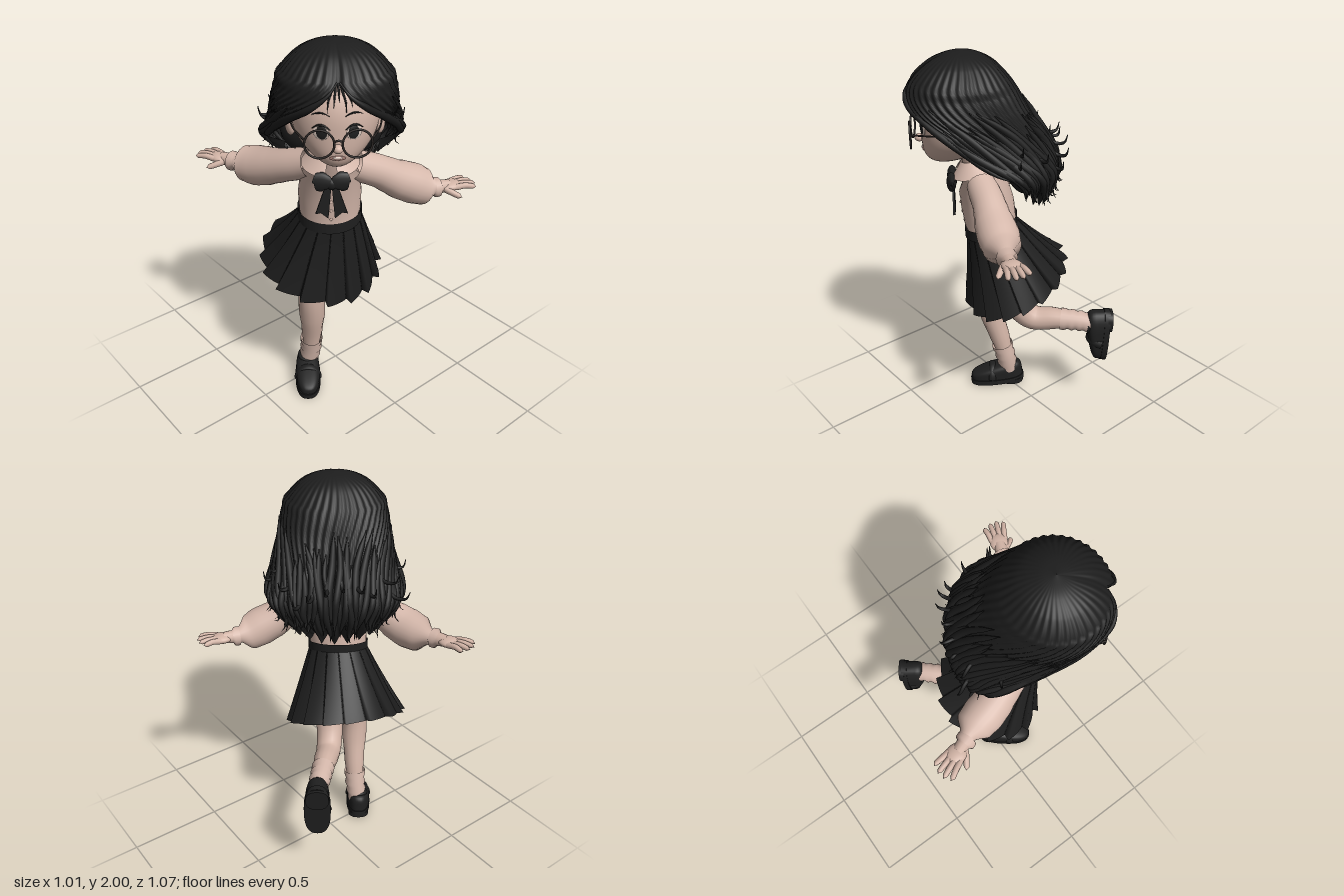
import * as THREE from 'three';
import { ParametricGeometry } from 'three/addons/geometries/ParametricGeometry.js';

const paint = (name, color, side = THREE.FrontSide) => {
  const m = new THREE.MeshStandardMaterial({ color, side });
  m.name = name;
  return m;
};
const V = (p) => new THREE.Vector3(...p);
const YAW = -0.6435;

// smooth tapered tube: radii are spaced evenly along the path
function limb(points, radii, seg = 36, sides = 16) {
  const curve = new THREE.CatmullRomCurve3(points.map((p) => (p.isVector3 ? p : V(p))));
  const geo = new THREE.TubeGeometry(curve, seg, 1, sides);
  const pos = geo.attributes.position, v = new THREE.Vector3();
  for (let i = 0; i <= seg; i++) {
    const c = curve.getPointAt(i / seg), f = (i / seg) * (radii.length - 1);
    const k = Math.min(Math.floor(f), radii.length - 2), t = f - k;
    const r = THREE.MathUtils.lerp(radii[k], radii[k + 1], t * t * (3 - 2 * t));
    for (let j = 0; j <= sides; j++) {
      const n = i * (sides + 1) + j;
      v.fromBufferAttribute(pos, n).sub(c).multiplyScalar(r).add(c);
      pos.setXYZ(n, v.x, v.y, v.z);
    }
  }
  return geo;
}
const ball = (x, y, z) => new THREE.SphereGeometry(1, 32, 24).scale(x, y, z);

// hair rows from crown to tips: height, centre z, half depth | half width, face opening angle
const hairA = new THREE.CatmullRomCurve3([[2, 0, 0.001], [1.987, 0, 0.075], [1.95, 0.005, 0.155], [1.88, 0.01, 0.228],
  [1.82, 0.005, 0.265], [1.75, -0.015, 0.284], [1.65, -0.075, 0.285], [1.55, -0.135, 0.285], [1.45, -0.235, 0.22],
  [1.35, -0.26, 0.185], [1.25, -0.265, 0.13]].map(V));
const hairB = new THREE.CatmullRomCurve3([[0.001, 0, 0], [0.09, 0, 0], [0.168, 0, 0], [0.236, 0, 0], [0.262, 0.22, 0],
  [0.277, 0.58, 0], [0.285, 1.04, 0], [0.305, 1.36, 0], [0.33, 1.5, 0], [0.305, 1.55, 0], [0.23, 1.6, 0]].map(V));
function hairPoint(u, v, out = new THREE.Vector3(), grow = 0) {
  const A = hairA.getPoint(v), B = hairB.getPoint(v);
  const a = (2 * u - 1) * (Math.PI - Math.max(0, B.y));
  const parting = 0.07 * Math.exp(-(((Math.PI - Math.abs(a)) / 0.14) ** 2));
  const strands = 0.014 * Math.cos(Math.PI * 2 * (38 * u + 0.7 * Math.sin(v * 7))) * Math.min(1, v * 4);
  const k = 1 + strands - parting + grow;
  const tip = Math.max(0, (v - 0.75) / 0.25);
  const jag = Math.abs(((u * 11) % 1) - 0.5) * 0.12 + 0.1 * (2 * u - 1) ** 2;
  return out.set(B.x * k * Math.sin(a), A.x + tip * jag, A.y - A.z * k * Math.cos(a));
}

// depth of the face surface, relative to the head centre
function faceZ(x, y) {
  const sy = y / (y > 0 ? 0.24 : 0.205), k = sy < 0 ? 1 - 0.23 * sy * sy : 1, sx = x / (0.197 * k);
  return 0.2 * Math.sqrt(Math.max(0, 1 - sx * sx - sy * sy)) + (sy < 0 ? 0.1 * sy * sy : 0);
}

export function createModel() {
  const model = new THREE.Group();
  model.name = 'runningGirl';
  const skin = paint('skin', 0xd2b4a6), shirt = paint('shirt', 0xd5b8ab, THREE.DoubleSide);
  const hairMat = paint('hair', 0x1d1d1d, THREE.DoubleSide), cloth = paint('darkCloth', 0x1f1f1f, THREE.DoubleSide);
  const leather = paint('leather', 0x1f1f1f), frame = paint('glassesFrame', 0x2c2725);
  const lip = paint('lip', 0xa98076), ivory = paint('ivory', 0xdccabf);
  const add = (parent, name, geo, mat, at = [0, 0, 0], rot = [0, 0, 0]) => {
    const m = new THREE.Mesh(geo, mat);
    m.name = name;
    m.position.set(...at);
    m.rotation.set(...rot);
    parent.add(m);
    return m;
  };
  const group = (parent, name, at) => {
    const g = new THREE.Group();
    g.name = name;
    g.position.set(...at);
    parent.add(g);
    return g;
  };

  const body = group(model, 'body', [-0.155, 0, 0.14]);
  body.rotation.y = YAW;

  // blouse, neck, collar and buttons
  add(body, 'blouse', limb([[0, 1.05, 0], [0, 1.14, 0.005], [0, 1.25, 0.02], [0, 1.34, 0.04], [0, 1.42, 0.065], [0, 1.47, 0.08]],
    [0.115, 0.133, 0.135, 0.128, 0.09, 0.055], 40, 32), shirt).scale.x = 1.13;
  add(body, 'neck', limb([[0, 1.42, 0.07], [0.01, 1.5, 0.09], [0.02, 1.58, 0.1]], [0.056, 0.054, 0.056]), skin);
  add(body, 'collar', new THREE.CylinderGeometry(0.058, 0.122, 0.065, 40, 1, true, 0.22, Math.PI * 2 - 0.44),
    shirt, [0, 1.435, 0.08], [0.22, 0, 0]).scale.x = 1.12;
  for (let i = 0; i < 3; i++) add(body, 'button', ball(0.008, 0.008, 0.005), shirt, [0, 1.13 + i * 0.05, 0.136 + i * 0.008]);

  // ribbon bow
  const bow = group(body, 'bow', [0, 1.345, 0.187]);
  add(bow, 'bowKnot', ball(0.026, 0.028, 0.022), cloth);
  for (const s of [-1, 1]) {
    add(bow, 'bowLoop', limb([[0, 0, 0], [s * 0.035, 0.012, 0.008], [s * 0.08, 0.012, 0], [s * 0.088, 0.008, 0]],
      [0.012, 0.036, 0.05, 0.046, 0.002], 20, 12), cloth).scale.z = 0.5;
    const tail = new THREE.Shape([[0, 0], [s * 0.025, 0], [s * 0.075, -0.155], [s * 0.05, -0.15], [s * 0.015, -0.18]].map((p) => new THREE.Vector2(...p)));
    add(bow, 'bowTail', new THREE.ExtrudeGeometry(tail, { depth: 0.01, bevelEnabled: false }), cloth, [0, 0, -0.008]);
  }

  // pleated skirt, swinging back and up, pushed out over the striding leg and at the trailing corner
  const skirt = (u, v, out) => {
    const a = (2 * u - 1) * Math.PI, saw = (u * 16) % 1, sx = Math.sin(a), cz = -Math.cos(a);
    const stride = Math.max(0, 0.85 * cz - 0.53 * sx) ** 3, trail = Math.max(0, -0.6 * cz - 0.8 * sx) ** 3;
    const k = 1 + v * (0.13 * (saw - 0.5) + 0.19 * stride + 0.1 * trail);
    const x = THREE.MathUtils.lerp(0.152, 0.295, v) * k * sx, z = THREE.MathUtils.lerp(0.128, 0.25, v) * k * cz;
    const top = 1.1 - 0.25 * z, hem = 0.73 - 0.47 * z - 0.08 * x + 0.06 * stride + 0.02 * trail;
    out.set(x - 0.03 * v, THREE.MathUtils.lerp(top, hem, v), z - 0.14 * v);
  };
  add(body, 'skirt', new ParametricGeometry(skirt, 192, 24), cloth);
  add(body, 'waistband', new ParametricGeometry((u, v, out) => {
    const a = (2 * u - 1) * Math.PI, z = -0.135 * Math.cos(a);
    out.set(0.158 * Math.sin(a), 1.135 - 0.25 * z - 0.055 * v, z);
  }, 48, 2), cloth);
  add(body, 'hips', ball(0.135, 0.12, 0.12), skin, [0, 0.98, -0.02]);

  // head
  const head = group(body, 'head', [0.02, 1.67, 0.125]);
  const skull = new THREE.SphereGeometry(1, 48, 36), sp = skull.attributes.position;
  for (let i = 0; i < sp.count; i++) {
    const x = sp.getX(i), y = sp.getY(i), z = sp.getZ(i), low = y < 0 ? y * y : 0;
    sp.setXYZ(i, x * 0.197 * (1 - 0.23 * low), y * (y > 0 ? 0.24 : 0.205), z * 0.2 + 0.1 * low);
  }
  skull.computeVertexNormals();
  add(head, 'face', skull, skin);
  add(head, 'nose', ball(0.022, 0.02, 0.024), skin, [0, -0.085, faceZ(0, -0.085) + 0.01]);
  add(head, 'mouth', ball(0.036, 0.012, 0.006), lip, [0, -0.135, faceZ(0, -0.135) - 0.001], [0.15, 0, 0]);
  add(head, 'teeth', ball(0.022, 0.006, 0.005), ivory, [0, -0.132, faceZ(0, -0.132) + 0.003], [0.15, 0, 0]);
  for (const s of [-1, 1]) {
    const x = s * 0.07, z = faceZ(x, -0.015);
    add(head, 'eyeWhite', ball(0.036, 0.032, 0.006), ivory, [x, -0.018, z - 0.001], [0, s * 0.36, 0]);
    add(head, 'iris', ball(0.025, 0.03, 0.006), leather, [x - s * 0.002, -0.016, z + 0.003], [0, s * 0.36, 0]);
    const arc = (y, h, w) => [-1, -0.4, 0.3, 1].map((t) => {
      const ax = x + t * w, ay = y - h * t * t;
      return [ax, ay, faceZ(ax, ay) + 0.004];
    });
    add(head, 'eyelash', limb(arc(0.018, 0.02, 0.038), [0.002, 0.005, 0.002], 12, 6), leather);
    add(head, 'eyebrow', limb(arc(0.068, 0.012, 0.038), [0.002, 0.004, 0.001], 12, 6), hairMat);
    add(head, 'ear', ball(0.022, 0.052, 0.036), skin, [s * 0.2, -0.055, -0.005], [0, -s * 0.35, 0]);
    add(head, 'lensRim', new THREE.TorusGeometry(0.063, 0.005, 10, 40), frame, [s * 0.08, -0.045, 0.245], [0, s * 0.08, 0]);
    add(head, 'templeArm', limb([[s * 0.142, -0.025, 0.24], [s * 0.185, -0.02, 0.13], [s * 0.208, -0.01, 0]], [0.005, 0.004, 0.004], 12, 8), frame);
  }
  add(head, 'glassesBridge', limb([[-0.018, -0.035, 0.248], [0, -0.027, 0.252], [0.018, -0.035, 0.248]], [0.005, 0.005], 8, 8), frame);

  // hair: main mass, inner fill, face-framing edges, fringe, loose locks and curly wisps
  const hair = group(body, 'hair', [0.02, 0, 0.12]);
  add(hair, 'hairMass', new ParametricGeometry((u, v, out) => hairPoint(u, v, out), 240, 60), hairMat);
  add(hair, 'hairUnderlayer', ball(0.205, 0.23, 0.19), hairMat, [0, 1.7, -0.06]);
  add(hair, 'hairNape', ball(0.25, 0.15, 0.1), hairMat, [0, 1.46, -0.29]);
  for (const u of [0.004, 0.996]) {
    const edge = [0.3, 0.38, 0.46, 0.55, 0.65, 0.75, 0.85].map((v) => hairPoint(u, v));
    add(hair, 'hairEdge', limb(edge, [0.004, 0.016, 0.02, 0.018, 0.002], 40, 10), hairMat);
  }
  for (let i = 0; i < 9; i++) {
    const x = -0.12 + i * 0.026, end = 0.07 + 0.02 * (i % 3);
    const strand = [[0.25, 0.19], [0.6, 0.15], [0.95, 0.11], [1, end]].map(([k, y]) => [x * k, y + 1.67, faceZ(x * k, y) + 0.01]);
    add(hair, 'fringeStrand', limb(strand, [0.004, 0.005, 0.004, 0.001], 14, 6), hairMat);
  }
  let seed = 7;
  const rnd = () => (seed = (seed * 16807) % 2147483647) / 2147483647;
  for (let i = 0; i < 46; i++) {
    const u = 0.02 + (0.96 * (i + rnd() * 0.7)) / 46, start = 0.42 + rnd() * 0.2, reach = rnd() * 0.03;
    const end = 0.84 + rnd() * 0.12;
    const path = [0, 0.35, 0.7, 1].map((t) => hairPoint(u + 0.012 * Math.sin(t * 5 + i), start + (end - start) * t, undefined, 0.015));
    const last = path[3], away = new THREE.Vector3(last.x, 0, last.z + 0.2).normalize();
    path.push(last.clone().addScaledVector(away, reach * 0.4).add(V([0, -0.03, 0])));
    path.push(last.clone().addScaledVector(away, reach).add(V([0, -0.05 + rnd() * 0.03, 0])));
    add(hair, 'hairLock', limb(path, [0.003, 0.015, 0.019, 0.018, 0.013, 0.001], 24, 8), hairMat);
  }
  for (let i = 0; i < 12; i++) {
    const u = 0.16 + (0.68 * i) / 11, v = 0.66 + rnd() * 0.12;
    const path = [hairPoint(u, v - 0.14), hairPoint(u + 0.01, v - 0.06, undefined, 0.02), hairPoint(u, v, undefined, 0.06)];
    const away = new THREE.Vector3(path[2].x, 0, path[2].z + 0.2).normalize(), reach = 0.03 + rnd() * 0.04;
    path.push(path[2].clone().addScaledVector(away, reach));
    path.push(path[2].clone().addScaledVector(away, reach * 1.3).add(V([0, 0.04, 0])));
    add(hair, 'curlyWisp', limb(path, [0.004, 0.012, 0.012, 0.009, 0.002], 24, 8), hairMat);
  }

  // arms: puffed sleeve, cuff and open hand with the thumb forward
  const arm = (side, path, wrist, dir) => {
    const g = group(model, side + 'Arm', [0, 0, 0]);
    add(g, 'sleeve', limb(path, [0.072, 0.078, 0.08, 0.086, 0.096, 0.1, 0.092, 0.04], 56, 24), shirt);
    const d = V(dir).normalize(), w = V(wrist), back = w.clone().addScaledVector(d, -0.035);
    add(g, 'cuff', limb([back.clone().addScaledVector(d, -0.01), back, w, w.clone().addScaledVector(d, 0.008)], [0.03, 0.05, 0.05, 0.03], 16, 20), shirt);
    const hand = group(g, 'hand', wrist);
    const up = V([0, 1, 0]), thumb = V([-0.6, 0, 0.8]);
    thumb.addScaledVector(d, -thumb.dot(d)).normalize();
    up.crossVectors(thumb, d).normalize();
    const flip = up.y < 0 ? -1 : 1; // mirrored thumb side keeps a right-handed frame
    hand.quaternion.setFromRotationMatrix(new THREE.Matrix4().makeBasis(d, up.multiplyScalar(flip), thumb.multiplyScalar(flip)));
    add(hand, 'wrist', limb([[-0.03, 0, 0], [0.02, 0, 0], [0.05, 0, 0]], [0.036, 0.034, 0.03], 10, 14), skin);
    add(hand, 'palm', ball(0.056, 0.024, 0.048), skin, [0.06, 0, 0]);
    [-1, -0.33, 0.33, 1].forEach((k, i) => {
      const len = [0.062, 0.082, 0.088, 0.076][i], z = k * 0.034 * flip;
      add(hand, 'finger', limb([[0.07, 0, z], [0.09 + len * 0.4, 0.006, z * 1.25], [0.085 + len, 0, z * 1.5], [0.1 + len, -0.003, z * 1.52]],
        [0.015, 0.0155, 0.015, 0.0145, 0.014, 0.013, 0.001], 20, 10), skin);
    });
    add(hand, 'thumb', limb([[0.02, -0.004, 0.02 * flip], [0.05, -0.02, 0.05 * flip], [0.08, -0.034, 0.072 * flip], [0.09, -0.038, 0.077 * flip]],
      [0.018, 0.018, 0.016, 0.015, 0.014, 0.001], 18, 10), skin);
  };
  arm('left', [[-0.09, 1.37, 0.245], [0.02, 1.32, 0.285], [0.11, 1.265, 0.325], [0.18, 1.23, 0.355], [0.24, 1.2, 0.38], [0.3, 1.187, 0.405]],
    [0.325, 1.183, 0.415], [0.93, 0.0, 0.36]);
  arm('right', [[-0.25, 1.38, 0.11], [-0.285, 1.345, 0.01], [-0.315, 1.31, -0.09], [-0.338, 1.285, -0.18], [-0.355, 1.275, -0.25], [-0.382, 1.27, -0.325]],
    [-0.4, 1.27, -0.355], [-0.33, 0.03, -0.94]);

  // loafers, with a squarish outline
  const square = (t) => Math.sign(t) * Math.abs(t) ** 0.8;
  const reshape = (geo, rule) => {
    const p = geo.attributes.position;
    for (let i = 0; i < p.count; i++) p.setXYZ(i, ...rule(square(p.getX(i)), p.getY(i), square(p.getZ(i))));
    geo.computeVertexNormals();
    return geo;
  };
  const shoe = (name, at, pitch) => {
    const g = group(model, name, at);
    g.rotation.set(pitch, YAW, 0, 'YXZ');
    const slab = (h, w, l) => reshape(new THREE.CylinderGeometry(1, 1, h, 40), (x, y, z) => [x * w, y, z * l]);
    add(g, 'sole', slab(0.03, 0.069, 0.156), leather, [0, 0.022, 0]);
    add(g, 'heel', slab(0.028, 0.059, 0.06), leather, [0, 0.006, -0.09]);
    add(g, 'shoeUpper', reshape(new THREE.SphereGeometry(1, 40, 28), (x, y, z) =>
      [x * 0.065, Math.max(0, y) ** 0.34 * (0.086 - 0.032 * z), z * 0.151]), leather, [0, 0.03, 0]);
    add(g, 'shoeStrap', new THREE.TorusGeometry(0.063, 0.012, 10, 24, Math.PI), leather, [0, 0.045, 0.03], [-0.2, 0, 0]).scale.set(1, 1.05, 1.8);
    add(g, 'shoeOpening', new THREE.TorusGeometry(0.042, 0.011, 10, 28), leather, [0, 0.122, -0.068], [Math.PI / 2 + 0.16, 0, 0]);
  };
  shoe('rightShoe', [-0.245, 0.012, 0.052], 0.09);
  shoe('leftShoe', [0.305, 0.462, -0.295], Math.PI / 2 - 0.06);

  // legs and wrinkled socks
  add(model, 'rightLeg', limb([[-0.21, 0.97, 0.1], [-0.235, 0.8, 0.1], [-0.247, 0.62, 0.1], [-0.233, 0.48, 0.085], [-0.21, 0.32, 0.05], [-0.2, 0.2, 0.025], [-0.2, 0.08, 0]],
    [0.085, 0.08, 0.068, 0.07, 0.058, 0.046, 0.045]), skin);
  add(model, 'leftLeg', limb([[-0.08, 0.95, 0.14], [-0.065, 0.78, 0.11], [-0.035, 0.62, 0.055], [0.015, 0.555, 0.0], [0.1, 0.556, -0.08], [0.19, 0.55, -0.165], [0.25, 0.54, -0.22]],
    [0.085, 0.08, 0.075, 0.07, 0.064, 0.052, 0.045]), skin);
  const folds = [0.06, 0.06, 0.053, 0.059, 0.051, 0.057, 0.05, 0.055, 0.05];
  add(model, 'rightSock', limb([[-0.208, 0.285, 0.043], [-0.2, 0.2, 0.025], [-0.2, 0.09, 0]], folds, 40, 20), shirt);
  add(model, 'leftSock', limb([[0.125, 0.555, -0.103], [0.19, 0.55, -0.165], [0.25, 0.54, -0.22]], folds, 40, 20), shirt);

  return model;
}
